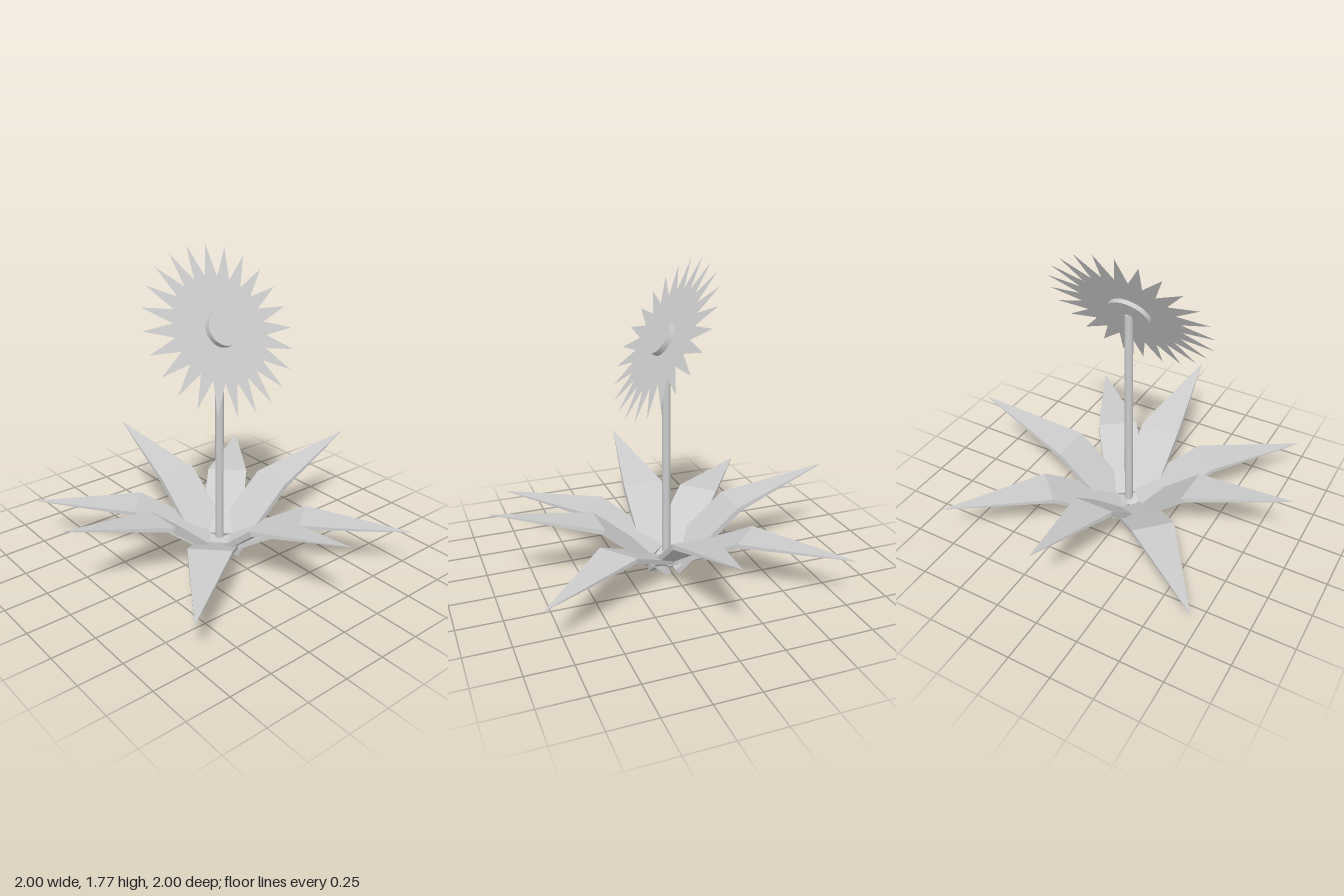
import * as THREE from 'three';

const mat = (opts = {}) => new THREE.MeshStandardMaterial({ color: 0xcccccc, ...opts });
const HALF_WIDTH = 0.12;

// Pointed leaf along +z: a straight blade, a bend, then a taper to the tip.
// Each station: [topReach, topHeight, bottomReach, bottomHeight, halfWidth]
function leafGeometry(stations) {
  const geo = new THREE.BoxGeometry(2, 2, 2, 1, 1, 2);
  const pos = geo.attributes.position;
  for (let i = 0; i < pos.count; i++) {
    const s = stations[Math.round(pos.getZ(i)) + 1];
    const k = pos.getY(i) > 0 ? 0 : 2;
    pos.setXYZ(i, Math.sign(pos.getX(i)) * s[4], s[k + 1], s[k]);
  }
  const flat = geo.toNonIndexed();
  flat.computeVertexNormals();
  return flat;
}

function addLeaves(group, name, geo, degrees) {
  degrees.forEach((deg) => {
    const leaf = new THREE.Mesh(geo, mat({ flatShading: true }));
    leaf.name = name;
    leaf.rotation.y = THREE.MathUtils.degToRad(deg);
    group.add(leaf);
  });
}

function disc(name, radius, thickness, y) {
  const mesh = new THREE.Mesh(new THREE.CylinderGeometry(radius, radius, thickness, 32), mat());
  mesh.name = name;
  mesh.position.y = y;
  return mesh;
}

export function createModel() {
  const model = new THREE.Group();
  model.name = 'flower';

  // Steep leaves on the axes, shallow leaves between them (one slightly askew)
  const steep = leafGeometry([
    [0.015, 0.025, 0.035, 0, HALF_WIDTH],
    [0.40, 0.355, 0.42, 0.332, HALF_WIDTH],
    [1, 0.497, 1, 0.495, 0.001],
  ]);
  const shallow = leafGeometry([
    [0.055, 0.088, 0.065, 0.064, HALF_WIDTH],
    [0.48, 0.298, 0.485, 0.273, HALF_WIDTH],
    [1.09, 0.273, 1.09, 0.271, 0.001],
  ]);
  addLeaves(model, 'steepLeaf', steep, [0, 90, 180, 270]);
  addLeaves(model, 'shallowLeaf', shallow, [45, 127.5, 225, 315]);

  // Stem
  const stem = new THREE.Mesh(new THREE.CylinderGeometry(0.024, 0.024, 1.26, 16), mat());
  stem.name = 'stem';
  stem.position.y = 0.73;
  model.add(stem);

  // Flower head, tilted to look toward +x and upward
  const head = new THREE.Group();
  head.name = 'flowerHead';
  head.position.set(0.015, 1.36, 0);
  head.rotation.z = -Math.PI / 3;

  // Paper-thin ring of pointed petals
  const petalCount = 24;
  const star = new THREE.Shape();
  for (let i = 0; i < petalCount * 2; i++) {
    const a = THREE.MathUtils.degToRad(9.5) + (i * Math.PI) / petalCount;
    const r = i % 2 ? 0.295 : 0.48;
    const p = [-Math.cos(a) * r, Math.sin(a) * r];
    if (i) star.lineTo(...p);
    else star.moveTo(...p);
  }
  star.closePath();
  const petals = new THREE.Mesh(new THREE.ShapeGeometry(star), mat({ side: THREE.DoubleSide }));
  petals.name = 'petals';
  petals.rotation.x = -Math.PI / 2;
  head.add(petals);

  // Seed disc in front, backing plate behind
  head.add(disc('seedDisc', 0.1, 0.034, 0.017));
  head.add(disc('backPlate', 0.123, 0.025, -0.0125));
  model.add(head);

  return model;
}
